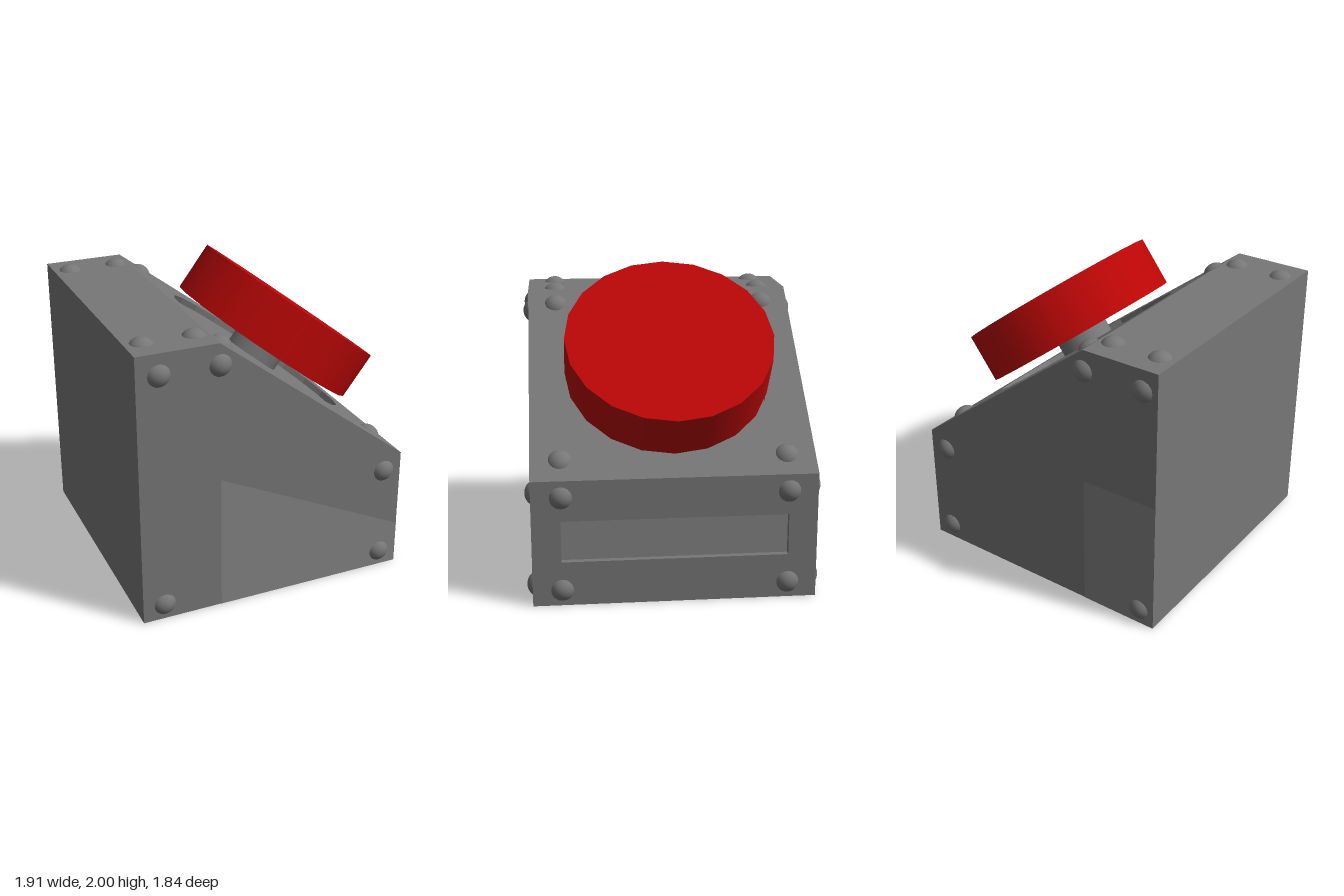
import * as THREE from 'three';

const grey = new THREE.MeshStandardMaterial({ color: 0x777777 });
const lightGrey = new THREE.MeshStandardMaterial({ color: 0x848484 });
const red = new THREE.MeshStandardMaterial({ color: 0xbc0606 });
const WIDTH = 1.77, Z_MID = -0.005, RECESS = 0.04;

const points = list => list.map(([x, y]) => new THREE.Vector2(x, y));

// Side outline of the housing, counter-clockwise
const profile = points([[-0.957, 0], [0.81, 0], [0.81, 0.808], [-0.443, 1.767], [-0.957, 1.767]]);

// Shallow domed rivet head, base at the origin and pointing along +z
const R = 0.07, H = 0.036, capR = (R * R + H * H) / (2 * H);
const rivetGeometry = new THREE.SphereGeometry(capR, 20, 6, 0, Math.PI * 2, 0, Math.asin(R / capR))
  .translate(0, H - capR, 0).rotateX(Math.PI / 2);

function addMesh(parent, name, geometry, material = grey) {
  const mesh = new THREE.Mesh(geometry, material);
  mesh.name = name;
  parent.add(mesh);
  return mesh;
}

// Flat plate facing local +z, with an optional recess and rivets
function makePanel(name, outline, recess, rivets, floorMaterial) {
  const panel = new THREE.Group();
  panel.name = name;
  const shape = new THREE.Shape(outline);
  if (recess) {
    shape.holes.push(new THREE.Path(recess));
    addMesh(panel, name + 'RecessFloor',
      new THREE.ShapeGeometry(new THREE.Shape(recess)).translate(0, 0, -RECESS), floorMaterial);
  }
  addMesh(panel, name + 'Plate',
    new THREE.ExtrudeGeometry(shape, { depth: RECESS, bevelEnabled: false }).translate(0, 0, -RECESS));
  for (const [u, v] of rivets) addMesh(panel, 'rivet', rivetGeometry).position.set(u, v, 0);
  return panel;
}

// Side panel with a slightly lighter painted patch
function makeSide(name, outline, rivets, patch) {
  const side = makePanel(name, outline, null, rivets);
  addMesh(side, name + 'LightPatch',
    new THREE.ShapeGeometry(new THREE.Shape(patch)).translate(0, 0, 0.002), lightGrey);
  side.position.z = Z_MID;
  return side;
}

const rectangle = (u0, u1, v) => points([[u0, -v], [u1, -v], [u1, v], [u0, v]]);

export function createModel() {
  const model = new THREE.Group();
  model.name = 'pushButtonBox';

  // Front and back sides
  const lowRivets = [[0.69, 0.7], [0.69, 0.1], [-0.44, 1.63]];
  const front = makeSide('frontSide', profile, [...lowRivets, [-0.815, 1.63], [-0.815, 0.1]],
    points([[-0.44, 0], [0.81, 0], [0.81, 0.285], [-0.44, 0.885]]));
  front.position.z += WIDTH / 2;
  const back = makeSide('backSide', profile.map(p => new THREE.Vector2(-p.x, p.y)).reverse(),
    [...lowRivets, [-0.85, 1.63], [-0.85, 0.1]].map(([x, y]) => [-x, y]),
    points([[0.44, 0], [0.957, 0], [0.957, 0.885], [0.44, 0.885]]));
  back.rotation.y = Math.PI;
  back.position.z -= WIDTH / 2;
  model.add(front, back);

  // Panels along the outline: u runs along each edge, v across the width
  const well = Array.from({ length: 20 }, (_, i) => {
    const a = i * Math.PI / 10;
    return new THREE.Vector2(0.653 * Math.cos(a) - 0.008, 0.653 * Math.sin(a));
  });
  const edges = [
    { name: 'base', rivetsAt: [] },
    { name: 'slotPanel', rivetsAt: [0.296, -0.304], recess: rectangle(-0.12, 0.145, 0.705), floor: lightGrey },
    { name: 'slopedPanel', rivetsAt: [0.67, -0.628], recess: well },
    { name: 'topPanel', rivetsAt: [0.15, -0.17] },
    { name: 'rearPanel', rivetsAt: [] },
  ];
  edges.forEach(({ name, rivetsAt, recess, floor }, i) => {
    const p = profile[i], q = profile[(i + 1) % profile.length];
    const half = p.distanceTo(q) / 2;
    const t = q.clone().sub(p).normalize();
    const rivets = rivetsAt.flatMap(u => [[u, 0.702], [u, -0.705]]);
    const panel = makePanel(name, rectangle(-half, half, WIDTH / 2), recess, rivets, floor);
    panel.quaternion.setFromRotationMatrix(new THREE.Matrix4().makeBasis(
      new THREE.Vector3(t.x, t.y, 0), new THREE.Vector3(0, 0, 1), new THREE.Vector3(t.y, -t.x, 0)));
    panel.position.set((p.x + q.x) / 2, (p.y + q.y) / 2, Z_MID);
    model.add(panel);

    // Stem and push button stand on the sloped panel
    if (name === 'slopedPanel') {
      addMesh(panel, 'stem', new THREE.CylinderGeometry(0.18, 0.18, 0.13, 20)
        .rotateX(Math.PI / 2).translate(-0.004, 0, 0.025));
      addMesh(panel, 'button', new THREE.CylinderGeometry(0.656, 0.656, 0.325, 20)
        .rotateX(Math.PI / 2).translate(-0.006, 0, 0.237), red);
    }
  });

  return model;
}
